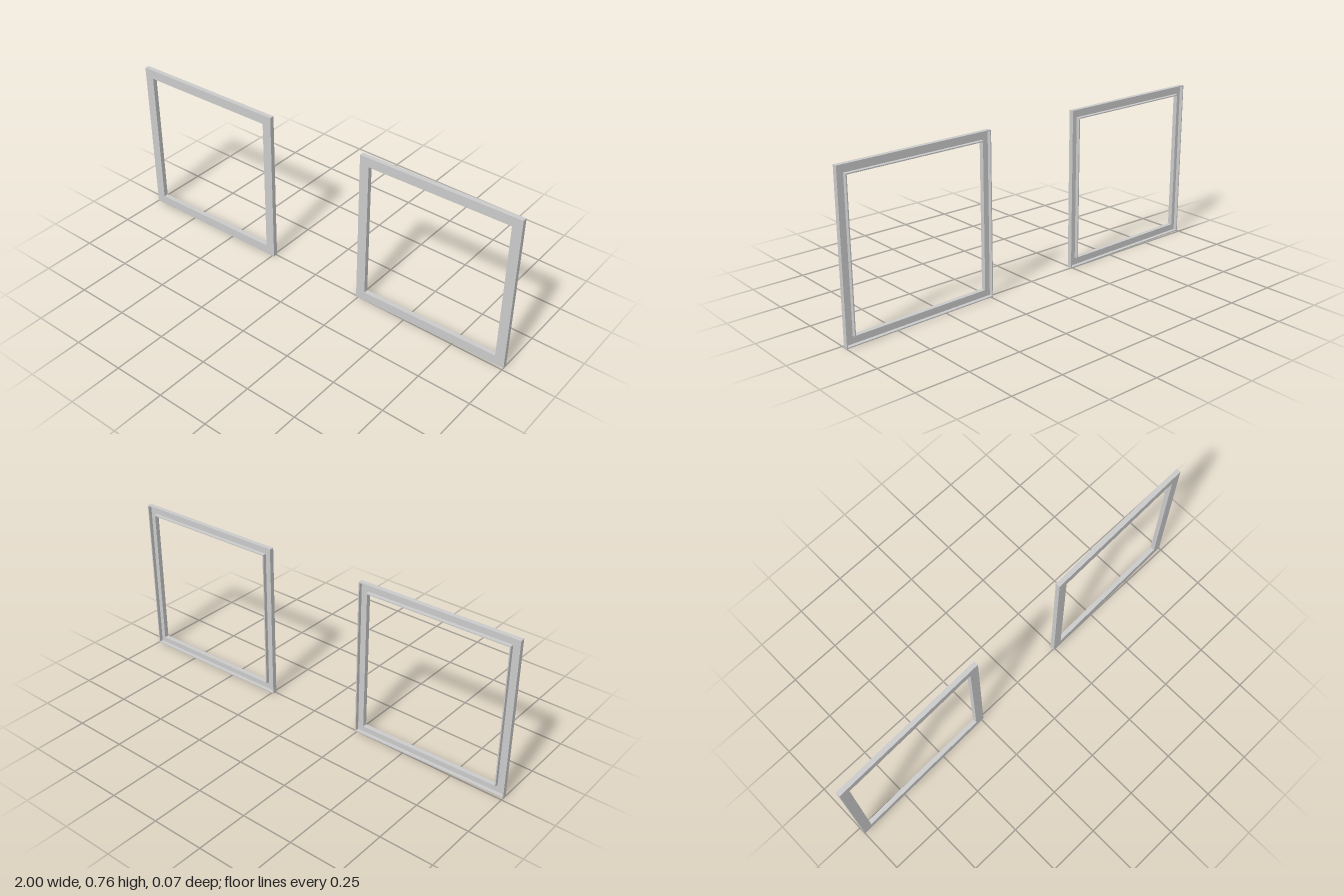
import * as THREE from 'three';

const SIZE = 0.76;    // outer side of a square frame
const RAIL = 0.045;   // width of the rails
const DEPTH = 0.022;  // front to back
const WALL = 0.005;   // sheet thickness of the channel section

const material = new THREE.MeshStandardMaterial({ color: 0xcccccc, flatShading: true });

function addSquare(path, side) {
  const h = side / 2;
  path.moveTo(-h, -h).lineTo(h, -h).lineTo(h, h).lineTo(-h, h).closePath();
  return path;
}

// Square ring from z = back to z = back + depth
function ring(name, outer, inner, depth, back) {
  const shape = addSquare(new THREE.Shape(), outer);
  shape.holes.push(addSquare(new THREE.Path(), inner));
  const geometry = new THREE.ExtrudeGeometry(shape, { depth, bevelEnabled: false });
  geometry.translate(0, 0, back);
  const mesh = new THREE.Mesh(geometry, material);
  mesh.name = name;
  return mesh;
}

// Frame with a channel section that is open to the back
function windowFrame(name) {
  const frame = new THREE.Group();
  frame.name = name;
  const opening = SIZE - 2 * RAIL;
  const back = -DEPTH / 2;
  frame.add(
    ring('frontFace', SIZE, opening, WALL, DEPTH / 2 - WALL),
    ring('outerLip', SIZE, SIZE - 2 * WALL, DEPTH - WALL, back),
    ring('innerLip', opening + 2 * WALL, opening, DEPTH - WALL, back)
  );
  return frame;
}

export function createModel() {
  const model = new THREE.Group();
  model.name = 'windowFrames';

  // Both frames lie in one plane, turned slightly about the vertical
  const pair = new THREE.Group();
  pair.name = 'framePair';
  pair.rotation.y = 0.024;
  for (const side of [-1, 1]) {
    const frame = windowFrame(side > 0 ? 'leftFrame' : 'rightFrame');
    frame.position.set(side * 0.62, SIZE / 2, 0);
    pair.add(frame);
  }
  model.add(pair);
  return model;
}
